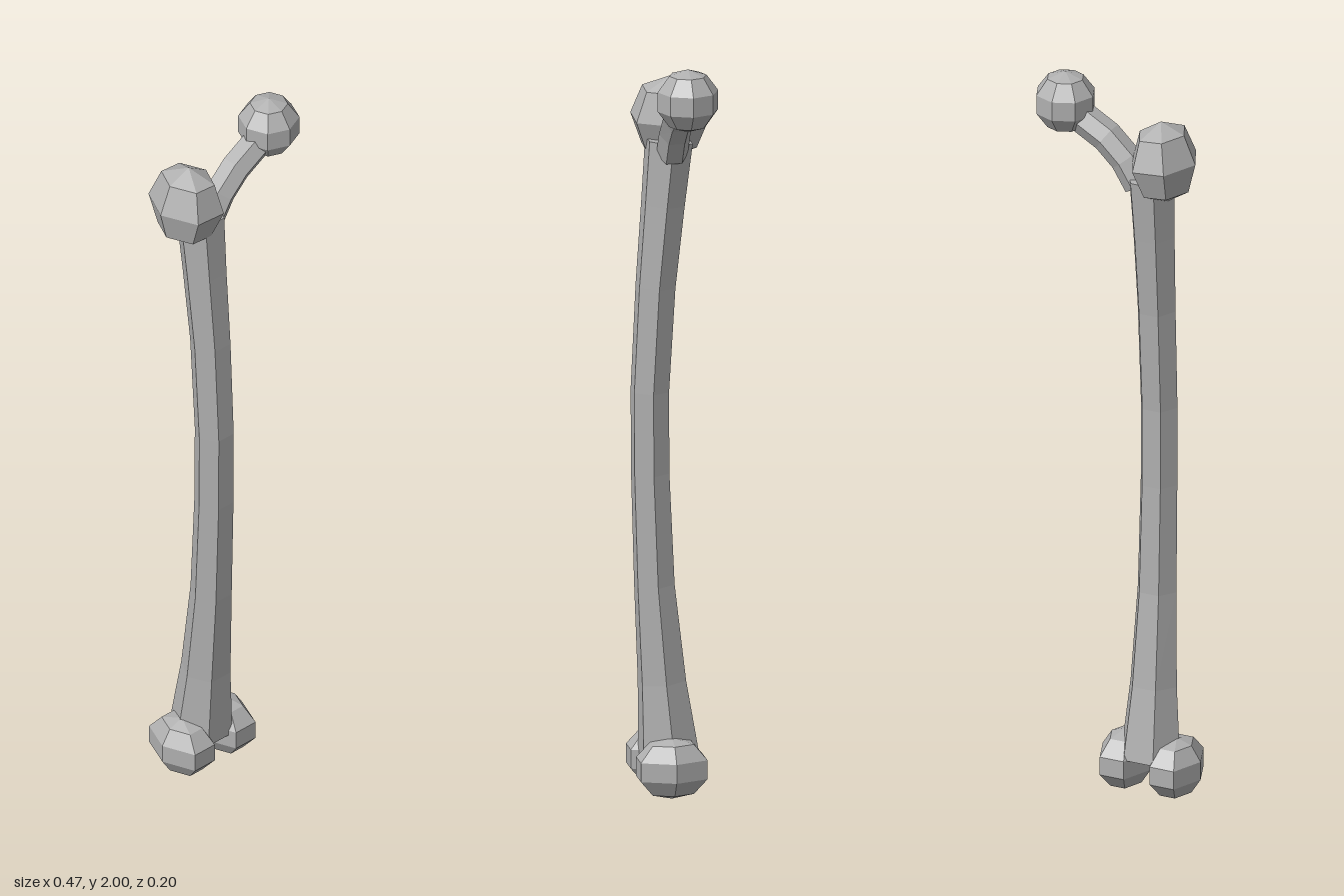
import * as THREE from 'three';

const bone = new THREE.MeshStandardMaterial({ color: 0xb0b0b0, flatShading: true });
bone.name = 'bone grey';

// Six-sided closed loft along stations [x, y, z, radius]; rings stand square to the path
// and have a corner on the given axis.
function hexLoft(stations, axis) {
  const pts = stations.map(s => new THREE.Vector3(s[0], s[1], s[2]));
  const pos = [], idx = [], n = pts.length;
  pts.forEach((p, i) => {
    const t = pts[Math.min(i + 1, n - 1)].clone().sub(pts[Math.max(i - 1, 0)]).normalize();
    const b = t.clone().cross(axis).normalize();
    for (let k = 0; k < 6; k++) {
      const a = k * Math.PI / 3, r = stations[i][3];
      const v = p.clone().addScaledVector(axis, r * Math.cos(a)).addScaledVector(b, r * Math.sin(a));
      pos.push(v.x, v.y, v.z);
    }
  });
  for (let i = 0; i < n - 1; i++) {
    for (let k = 0; k < 6; k++) {
      const a = i * 6 + k, b = i * 6 + (k + 1) % 6;
      idx.push(a, b, b + 6, a, b + 6, a + 6);
    }
  }
  // End caps
  const top = (n - 1) * 6;
  for (let k = 1; k < 5; k++) idx.push(0, k + 1, k, top, top + k, top + k + 1);
  const g = new THREE.BufferGeometry();
  g.setAttribute('position', new THREE.Float32BufferAttribute(pos, 3));
  g.setIndex(idx);
  const flat = g.toNonIndexed();
  flat.computeVertexNormals();
  return flat;
}

export function createModel() {
  const group = new THREE.Group();
  group.name = 'thighBone';

  const add = (name, geometry) => {
    const mesh = new THREE.Mesh(geometry, bone);
    mesh.name = name;
    group.add(mesh);
    return mesh;
  };

  // Faceted knob stretched to its own radii
  const knob = (name, sides, rings, centre, radii) => {
    const mesh = add(name, new THREE.SphereGeometry(1, sides, rings));
    mesh.position.set(...centre);
    mesh.scale.set(...radii);
    return mesh;
  };

  // Shaft, bowed forward and flared at both ends
  add('shaft', hexLoft([
    [-0.09, 0.10, 0.005, 0.085],
    [-0.09, 0.30, 0.023, 0.067],
    [-0.09, 0.56, 0.043, 0.056],
    [-0.09, 0.86, 0.054, 0.053],
    [-0.09, 1.08, 0.055, 0.053],
    [-0.09, 1.36, 0.040, 0.055],
    [-0.092, 1.58, 0.020, 0.060],
    [-0.093, 1.75, 0.004, 0.066],
  ], new THREE.Vector3(1, 0, 0)));

  // Neck curving up to the ball
  add('neck', hexLoft([
    [-0.06, 1.72, 0.002, 0.042],
    [-0.02, 1.785, 0.002, 0.042],
    [0.035, 1.838, 0.002, 0.042],
    [0.135, 1.895, 0.002, 0.042],
  ], new THREE.Vector3(0, 0, 1)));

  // Joint ball and the outer upper knob
  knob('ballHead', 8, 5, [0.155, 1.917, 0], [0.084, 0.084, 0.084]);
  const upper = knob('upperKnob', 6, 4, [-0.134, 1.803, -0.005], [0.091, 0.112, 0.11]);
  upper.rotation.z = -0.08;

  // Pair of lower knobs at the knee end
  for (const [name, x] of [['rightLowerKnob', -0.163], ['leftLowerKnob', -0.018]]) {
    knob(name, 6, 5, [x, 0.082, 0.01], [0.073, 0.082, 0.107]);
  }
  return group;
}
